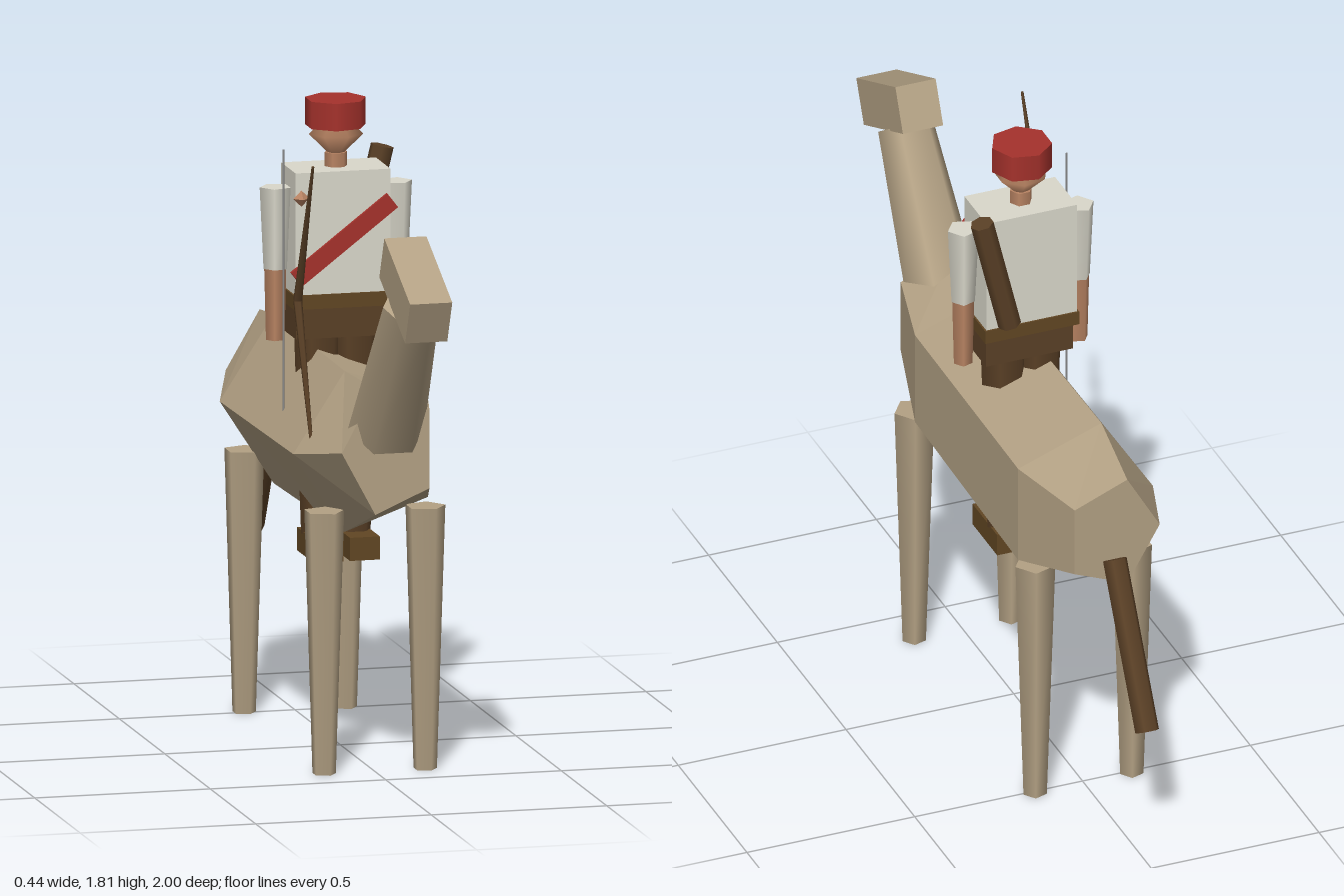
import * as THREE from 'three';

const mat = (name, color) => {
  const m = new THREE.MeshStandardMaterial({ color });
  m.name = name;
  return m;
};

export function createModel() {
  const hide = mat('tan hide', 0xb3a184);
  const cloth = mat('off white cloth', 0xdad8cb);
  const skin = mat('skin', 0xb98463);
  const red = mat('red cloth', 0xa5322c);
  const brown = mat('brown leather', 0x614623);
  const dark = mat('dark brown', 0x5a4026);
  const grey = mat('grey cord', 0x8f8f8f);

  const model = new THREE.Group();
  model.name = 'camelRider';

  const add = (parent, name, geo, material, x = 0, y = 0, z = 0) => {
    const m = new THREE.Mesh(geo, material);
    m.name = name;
    m.position.set(x, y, z);
    parent.add(m);
    return m;
  };
  const box = (parent, name, size, pos, material) =>
    add(parent, name, new THREE.BoxGeometry(...size), material, ...pos);

  // Tapered rod from a to b, with one corner towards +x (or -x when flipped)
  const rod = (parent, name, a, b, ra, rb, sides, material, flip = 1) => {
    const p = new THREE.Vector3(...a), q = new THREE.Vector3(...b);
    const dir = q.clone().sub(p);
    const geo = new THREE.CylinderGeometry(rb, ra, dir.length(), sides, 1, false, flip * Math.PI / 2);
    const mid = p.add(q).multiplyScalar(0.5);
    const m = add(parent, name, geo, material, mid.x, mid.y, mid.z);
    m.quaternion.setFromUnitVectors(new THREE.Vector3(0, 1, 0), dir.normalize());
    return m;
  };

  // ---- Camel ----
  const camel = new THREE.Group();
  camel.name = 'camel';
  model.add(camel);

  // Body: five-sided barrel; each ring is [z, centre y, x radius, y radius]
  const rings = [
    [-0.72, 0.92, 0.14, 0.175],
    [-0.47, 0.885, 0.222, 0.25],
    [0.30, 0.888, 0.212, 0.238],
    [0.55, 0.935, 0.138, 0.187],
  ];
  let body = new THREE.CylinderGeometry(1, 1, 3, 5, 3, false, -Math.PI / 2);
  body.rotateX(Math.PI / 2);
  const pos = body.attributes.position;
  for (let i = 0; i < pos.count; i++) {
    const [z, cy, rx, ry] = rings[Math.round(pos.getZ(i) + 1.5)];
    pos.setXYZ(i, pos.getX(i) * rx, cy + pos.getY(i) * ry, z);
  }
  body = body.toNonIndexed();
  body.computeVertexNormals();
  add(camel, 'camelBody', body, hide);

  for (const [end, z] of [['front', 0.375], ['back', -0.505]])
    for (const [side, s] of [['Left', 1], ['Right', -1]])
      rod(camel, end + side + 'Leg', [s * 0.144, 0, z], [s * 0.144, 0.74, z], 0.034, 0.058, 5, hide);

  rod(camel, 'neck', [0, 0.99, 0.503], [0, 1.39, 0.787], 0.11, 0.082, 6, hide);
  box(camel, 'camelHead', [0.12, 0.132, 0.313], [0, 1.444, 0.83], hide).rotation.x = 0.43;
  rod(camel, 'tail', [0, 0.425, -0.97], [0, 0.848, -0.735], 0.035, 0.035, 6, dark);

  // ---- Rider ----
  const rider = new THREE.Group();
  rider.name = 'rider';
  model.add(rider);
  const rz = -0.05;

  box(rider, 'torso', [0.27, 0.345, 0.16], [0, 1.448, rz], cloth);
  box(rider, 'belt', [0.28, 0.04, 0.17], [0, 1.257, rz], brown);
  box(rider, 'hips', [0.26, 0.09, 0.13], [0, 1.195, rz], dark);
  rod(rider, 'riderNeck', [0, 1.61, rz], [0, 1.66, rz], 0.032, 0.032, 6, skin);
  add(rider, 'riderHead', new THREE.SphereGeometry(0.077, 7, 2), skin, 0, 1.713, rz);
  rod(rider, 'hat', [0, 1.733, -0.053], [0, 1.81, -0.053], 0.086, 0.086, 7, red);

  // Arms, legs and boots
  for (const [side, s] of [['left', 1], ['right', -1]]) {
    const ax = s * 0.172, lx = s * 0.052;
    rod(rider, side + 'Sleeve', [ax, 1.34, rz], [ax, 1.57, rz], 0.034, 0.045, 5, cloth, s);
    rod(rider, side + 'Forearm', [ax, 1.14, rz], [ax, 1.34, rz], 0.027, 0.032, 5, skin, s);
    rod(rider, side + 'RiderLeg', [lx, 0.59, rz], [lx, 1.16, rz], 0.047, 0.067, 6, dark);
    box(rider, side + 'Boot', [0.085, 0.065, 0.18], [lx, 0.563, -0.02], brown);
  }

  // Sash across the chest and a small clasp
  box(rider, 'sash', [0.345, 0.05, 0.014], [0.002, 1.428, 0.034], red).rotation.z = 0.655;
  add(rider, 'clasp', new THREE.OctahedronGeometry(0.023), skin, -0.12, 1.55, 0.035);

  // Roll carried on the back
  rod(rider, 'backRoll', [0.08, 1.305, -0.163], [0.162, 1.647, -0.163], 0.033, 0.033, 7, dark);

  // Bow: two tapering limbs, plus its cord
  const bx = -0.17;
  for (const [name, y] of [['upperBowLimb', 1.705], ['lowerBowLimb', 0.885]])
    rod(rider, name, [bx, 1.295, 0.187], [bx, y, 0.355], 0.013, 0.004, 5, dark);
  rod(rider, 'bowCord', [bx, 0.9, 0.03], [bx, 1.69, 0.03], 0.003, 0.003, 4, grey);

  return model;
}
